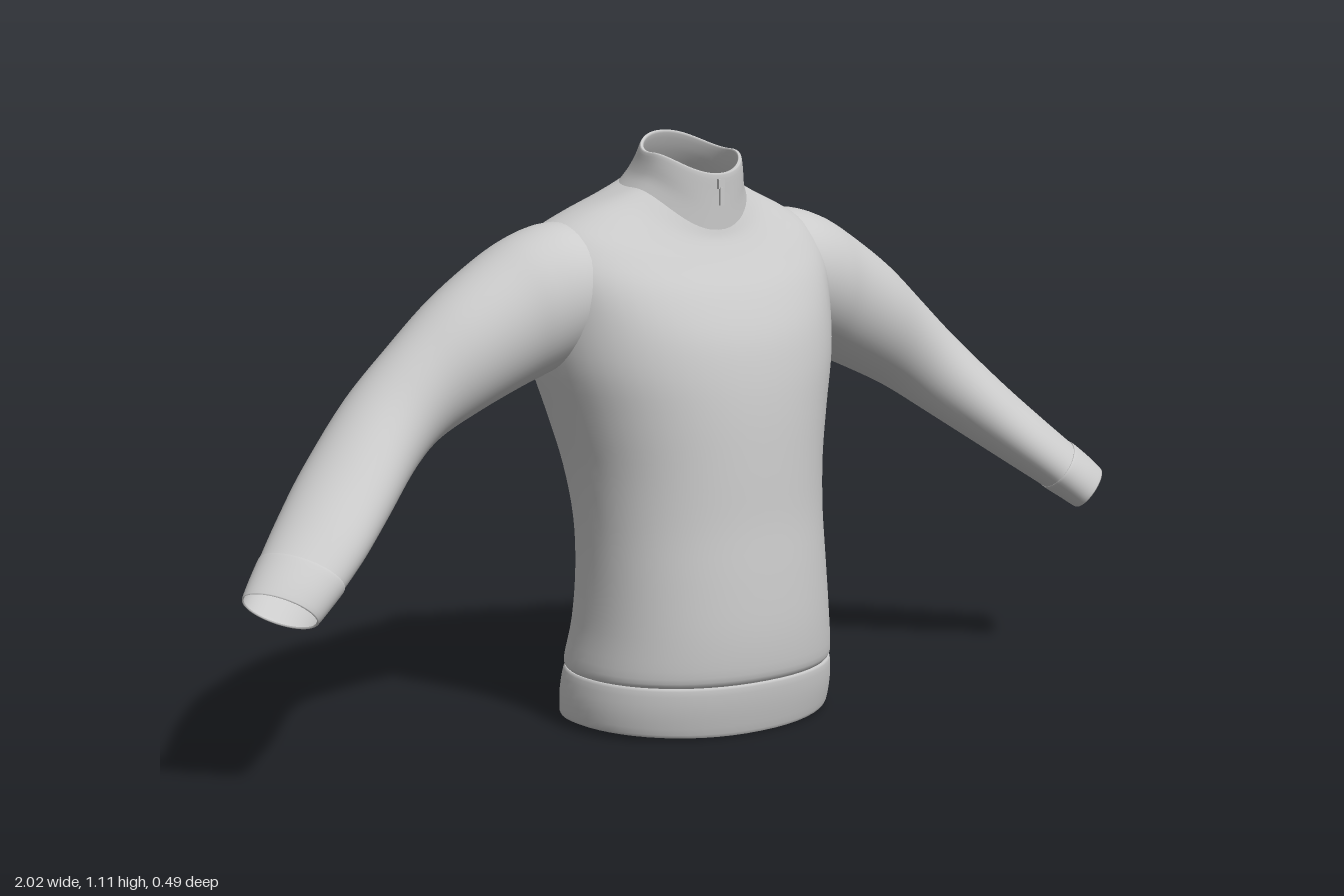
import * as THREE from 'three';

const fabric = new THREE.MeshStandardMaterial({ color: 0xcccccc, roughness: 0.9, side: THREE.DoubleSide });
const SEGMENTS = 56;

// Smoothly interpolate a list of parameter rows (Catmull-Rom), `sub` steps per span
function refine(rows, sub) {
  if (sub < 2) return rows;
  const out = [];
  const at = (i) => rows[Math.min(Math.max(i, 0), rows.length - 1)];
  for (let i = 0; i < rows.length - 1; i++) {
    for (let k = 0; k < sub; k++) {
      const t = k / sub;
      out.push(rows[i].map((b, c) => {
        const a = at(i - 1)[c], d = at(i + 1)[c], e = at(i + 2)[c];
        return b + 0.5 * t * (d - a + t * (2 * a - 5 * b + 4 * d - e + t * (3 * (b - d) + e - a)));
      }));
    }
  }
  out.push(rows[rows.length - 1]);
  return out;
}

// Skin closed rings; pointAt(row, cos, sin) returns one vertex
function loft(name, rows, sub, pointAt, direction = 1) {
  const rings = refine(rows, sub), positions = [], index = [];
  rings.forEach((row, i) => {
    for (let j = 0; j < SEGMENTS; j++) {
      const a = direction * j / SEGMENTS * Math.PI * 2;
      positions.push(...pointAt(row, Math.cos(a), Math.sin(a)));
      if (i === rings.length - 1) continue;
      const n = (j + 1) % SEGMENTS, p = i * SEGMENTS;
      const q = p + SEGMENTS;
      index.push(p + j, q + j, p + n, q + j, q + n, p + n);
    }
  });
  const geometry = new THREE.BufferGeometry();
  geometry.setAttribute('position', new THREE.Float32BufferAttribute(positions, 3));
  geometry.setIndex(index);
  geometry.computeVertexNormals();
  const mesh = new THREE.Mesh(geometry, fabric);
  mesh.name = name;
  return mesh;
}

// Body ring: heights at front, side, back; half width; z at front, side, back
function bodyPoint([yF, yS, yB, w, zF, zS, zB], c, s) {
  const soft = (v) => Math.sign(v) * Math.abs(v) ** 0.93;
  const y = yS + ((s > 0 ? yF : yB) - yS) * s * s;
  return [w * soft(c), y, zS + soft(s) * (s > 0 ? zF - zS : zS - zB)];
}

// Sleeve ring: top x, y; underside x, y; z at front and back; skew of the opening
const sleevePoint = (side) => ([tx, ty, bx, by, zF, zB, skew], c, s) => [
  side * ((tx + bx) / 2 + c * (tx - bx) / 2 - skew * s),
  (ty + by) / 2 + c * (ty - by) / 2,
  (zF + zB) / 2 + s * (zF - zB) / 2,
];

export function createModel() {
  const group = new THREE.Group();

  // Main body, from the hem seam up to the collar seam
  group.add(loft('body', [
    [0.105, 0.108, 0.112, 0.264, 0.234, 0.02, -0.188],
    [0.125, 0.125, 0.125, 0.269, 0.243, 0.02, -0.191],
    [0.20, 0.20, 0.20, 0.258, 0.246, 0.03, -0.176],
    [0.30, 0.30, 0.30, 0.251, 0.240, 0.03, -0.168],
    [0.40, 0.40, 0.40, 0.250, 0.231, 0.02, -0.175],
    [0.50, 0.50, 0.50, 0.260, 0.226, 0.00, -0.196],
    [0.60, 0.60, 0.60, 0.284, 0.219, -0.02, -0.222],
    [0.68, 0.70, 0.68, 0.312, 0.208, -0.04, -0.238],
    [0.75, 0.80, 0.77, 0.325, 0.190, -0.06, -0.245],
    [0.82, 0.88, 0.86, 0.330, 0.157, -0.07, -0.232],
    [0.87, 0.935, 0.93, 0.300, 0.125, -0.07, -0.207],
    [0.905, 0.970, 0.975, 0.240, 0.103, -0.06, -0.181],
    [0.925, 0.998, 1.01, 0.170, 0.092, -0.04, -0.160],
    [0.94, 1.018, 1.035, 0.120, 0.087, -0.02, -0.143],
  ], 4, bodyPoint));

  // Ribbed-style waistband
  group.add(loft('waistband', [
    [0.005, 0.015, 0.005, 0.266, 0.218, 0.01, -0.199],
    [0.012, 0.022, 0.012, 0.274, 0.223, 0.01, -0.201],
    [0.06, 0.062, 0.06, 0.276, 0.234, 0.015, -0.199],
    [0.10, 0.103, 0.107, 0.270, 0.239, 0.02, -0.193],
    [0.105, 0.108, 0.112, 0.264, 0.234, 0.02, -0.188],
  ], 3, bodyPoint));

  // Stand-up collar, rolled over its rim into the lining
  group.add(loft('collar', [
    [0.94, 1.018, 1.035, 0.120, 0.087, -0.02, -0.143],
    [0.975, 1.037, 1.06, 0.108, 0.088, -0.01, -0.125],
    [1.01, 1.06, 1.088, 0.101, 0.089, 0, -0.106],
    [1.042, 1.081, 1.115, 0.096, 0.090, 0, -0.091],
    [1.045, 1.083, 1.117, 0.092, 0.086, 0, -0.087],
    [1.041, 1.08, 1.112, 0.089, 0.082, 0, -0.084],
    [1.00, 1.05, 1.078, 0.093, 0.080, 0, -0.100],
    [0.95, 1.015, 1.035, 0.104, 0.078, -0.01, -0.128],
  ], 3, bodyPoint));

  // Sleeves with slightly bent elbows, and their cuffs
  for (const side of [1, -1]) {
    const prefix = side > 0 ? 'left' : 'right';
    group.add(loft(prefix + 'Sleeve', [
      [0.22, 0.958, 0.24, 0.71, 0.065, -0.195, 0],
      [0.29, 0.957, 0.285, 0.69, 0.070, -0.196, 0],
      [0.355, 0.938, 0.33, 0.673, 0.064, -0.190, 0],
      [0.42, 0.904, 0.375, 0.655, 0.052, -0.185, 0],
      [0.52, 0.838, 0.46, 0.62, 0.040, -0.172, 0],
      [0.61, 0.762, 0.55, 0.578, 0.028, -0.152, 0.005],
      [0.70, 0.678, 0.63, 0.527, 0.040, -0.130, 0.022],
      [0.80, 0.575, 0.73, 0.455, 0.085, -0.083, 0.035],
      [0.88, 0.495, 0.805, 0.399, 0.122, -0.034, 0.037],
      [0.938, 0.439, 0.862, 0.357, 0.143, 0.008, 0.036],
    ], 5, sleevePoint(side), -side));
    group.add(loft(prefix + 'Cuff', [
      [0.938, 0.439, 0.862, 0.357, 0.143, 0.008, 0.036],
      [0.942, 0.438, 0.864, 0.353, 0.147, 0.009, 0.036],
      [0.972, 0.410, 0.895, 0.331, 0.155, 0.032, 0.035],
      [0.996, 0.384, 0.922, 0.312, 0.159, 0.052, 0.034],
      [0.994, 0.383, 0.925, 0.315, 0.156, 0.055, 0.033],
    ], 3, sleevePoint(side), -side));
  }

  // Zip slider and hanging pull tab at the throat
  const zip = new THREE.Group();
  zip.name = 'zipPull';
  const slider = new THREE.Mesh(new THREE.BoxGeometry(0.014, 0.018, 0.008), fabric);
  slider.name = 'zipSlider';
  slider.position.set(0, 1.026, 0.092);
  const tab = new THREE.Mesh(new THREE.BoxGeometry(0.010, 0.034, 0.004), fabric);
  tab.name = 'zipTab';
  tab.position.set(0, 1.003, 0.095);
  zip.add(slider, tab);
  group.add(zip);

  return group;
}
